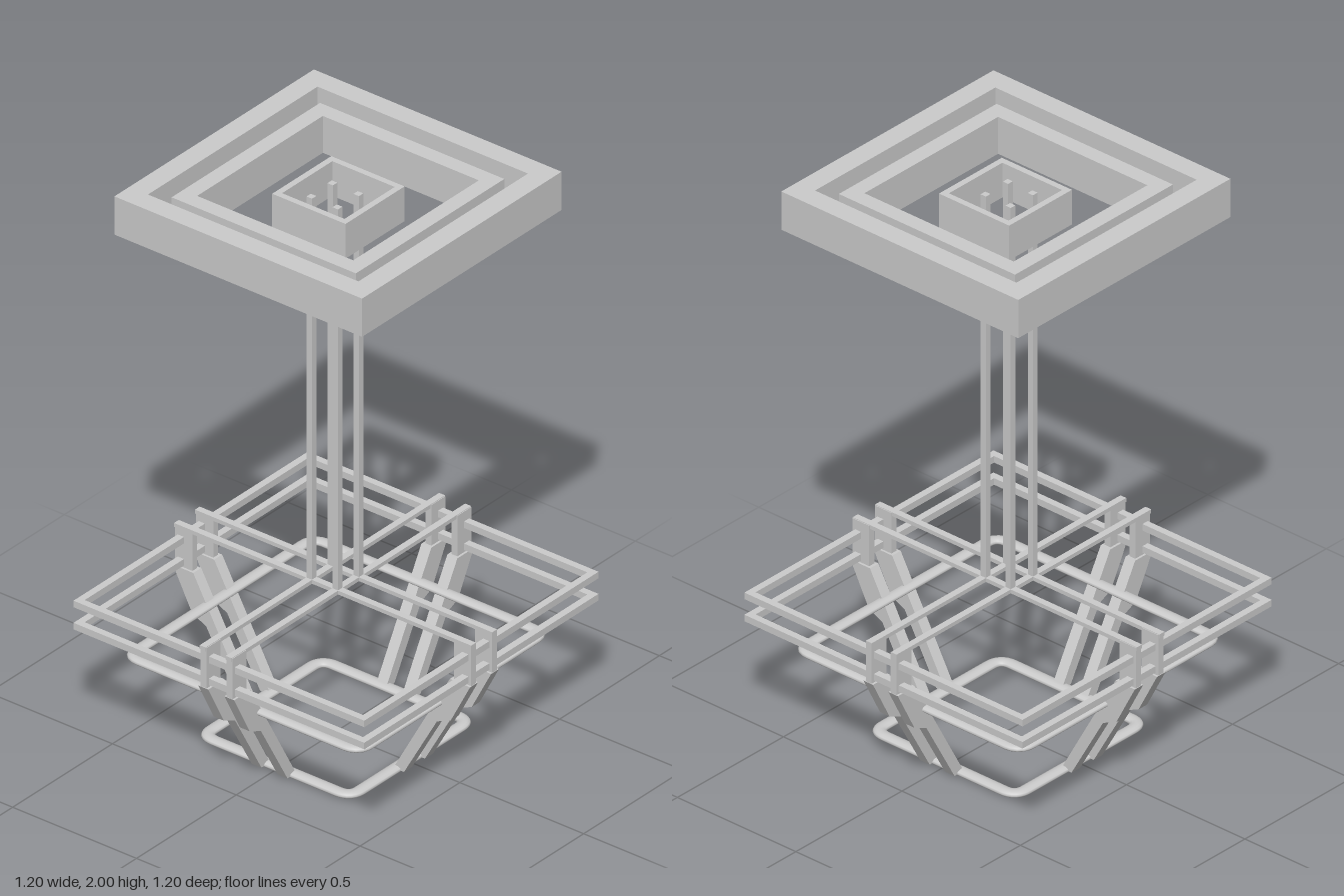
import * as THREE from 'three';

const material = new THREE.MeshStandardMaterial({ color: 0xcccccc });
const PAIR = [-0.055, 0.05]; // offsets of every doubled member

function add(parent, name, geometry, x = 0, y = 0, z = 0) {
  const mesh = new THREE.Mesh(geometry, material);
  mesh.name = name;
  mesh.position.set(x, y, z);
  parent.add(mesh);
  return mesh;
}

function box(parent, name, w, h, d, x, y, z) {
  return add(parent, name, new THREE.BoxGeometry(w, h, d), x, y, z);
}

// Square outline of given half size, as a list of points
function square(h) {
  return [[-h, -h], [h, -h], [h, h], [-h, h]].map(([x, y]) => new THREE.Vector2(x, y));
}

// Upright square frame with a square opening, standing from y0 to y1
function squareFrame(parent, name, outer, inner, y0, y1, x = 0, z = 0) {
  const shape = new THREE.Shape(square(outer));
  shape.holes.push(new THREE.Path(square(inner).reverse()));
  const geometry = new THREE.ExtrudeGeometry(shape, { depth: y1 - y0, bevelEnabled: false });
  geometry.rotateX(-Math.PI / 2);
  return add(parent, name, geometry, x, y0, z);
}

// Flattened tube bent into a square with rounded corners
function roundedRing(parent, name, half, corner, radius, flatten, y) {
  const path = new THREE.CurvePath();
  const c = half - corner;
  const turn = (p, i) => p.clone().applyAxisAngle(new THREE.Vector3(0, 1, 0), i * Math.PI / 2);
  const a = new THREE.Vector3(half, 0, c);
  const b = new THREE.Vector3(half, 0, -c);
  const k = new THREE.Vector3(half, 0, -half);
  const e = new THREE.Vector3(c, 0, -half);
  for (let i = 0; i < 4; i++) {
    path.add(new THREE.LineCurve3(turn(a, i), turn(b, i)));
    path.add(new THREE.QuadraticBezierCurve3(turn(b, i), turn(k, i), turn(e, i)));
  }
  const geometry = new THREE.TubeGeometry(path, 240, radius, 12, true);
  geometry.scale(1, flatten, 1);
  return add(parent, name, geometry, 0, y, 0);
}

// Cranked arm: wide shoulder, step on the outside, straight inner edge
function armGeometry() {
  const profile = [
    [0.29, 0.01], [0.333, 0.01], [0.466, 0.245], [0.522, 0.27], [0.6, 0.42], [0.518, 0.42],
  ].map(([x, y]) => new THREE.Vector2(x, y));
  const geometry = new THREE.ExtrudeGeometry(new THREE.Shape(profile), { depth: 0.04, bevelEnabled: false });
  geometry.translate(0, 0, -0.02);
  return geometry;
}

export function createModel() {
  const model = new THREE.Group();
  model.name = 'pendantLamp';

  // Ceiling canopy: three nested square frames
  const canopy = new THREE.Group();
  canopy.name = 'canopy';
  model.add(canopy);
  squareFrame(canopy, 'outerCanopyFrame', 0.5, 0.425, 1.86, 2, 0.01);
  squareFrame(canopy, 'middleCanopyFrame', 0.372, 0.315, 1.85, 1.985, 0.01);
  squareFrame(canopy, 'innerCanopyFrame', 0.148, 0.126, 1.85, 1.977, 0.012);

  // Four hanging rods
  for (const x of PAIR) {
    for (const z of PAIR) box(model, 'hangingRod', 0.022, 1.4, 0.022, x, 1.265, z);
  }

  // Crossing bars at the foot of the rods
  for (const p of PAIR) {
    box(model, 'crossBarSideways', 1.2, 0.014, 0.024, 0, 0.563, p);
    box(model, 'crossBarLengthways', 0.024, 0.014, 1.2, p, 0.563, 0);
  }

  // Two square shade frames
  squareFrame(model, 'upperShadeFrame', 0.587, 0.562, 0.508, 0.532);
  squareFrame(model, 'lowerShadeFrame', 0.587, 0.562, 0.427, 0.451);

  // A pair of arms with upright end plates on each side
  const arm = armGeometry();
  for (let i = 0; i < 4; i++) {
    const side = new THREE.Group();
    side.name = 'armPair';
    side.rotation.y = i * Math.PI / 2;
    model.add(side);
    for (const offset of [-0.0525, 0.0525]) {
      add(side, 'arm', arm, 0, 0, offset);
      box(side, 'endPlate', 0.07, 0.15, 0.024, 0.563, 0.493, offset);
    }
  }

  // Rounded rings that join the arms
  roundedRing(model, 'middleRing', 0.465, 0.05, 0.022, 0.5, 0.318);
  roundedRing(model, 'bottomRing', 0.298, 0.05, 0.023, 0.5, 0.0115);

  return model;
}
